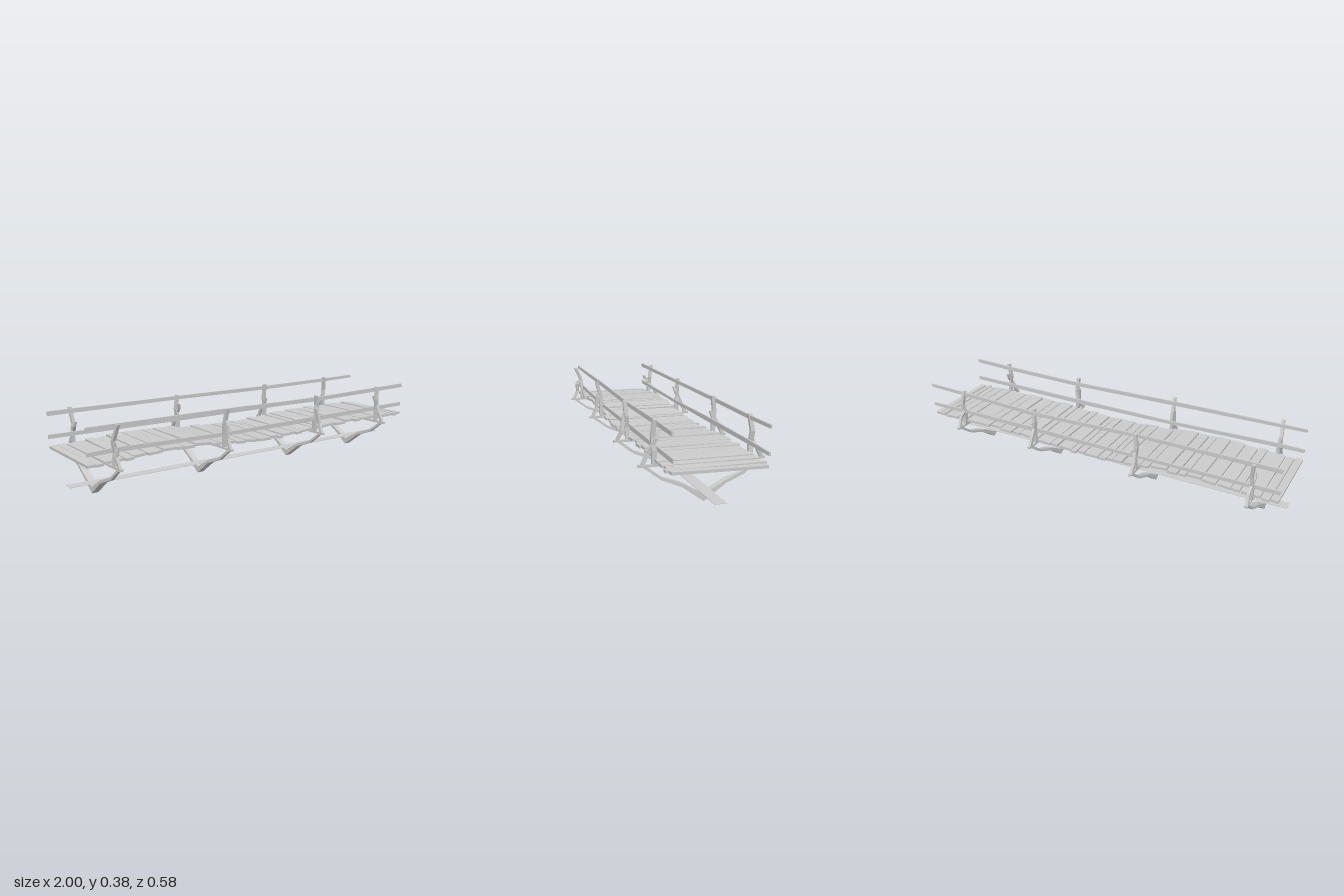
import * as THREE from 'three';

const material = new THREE.MeshStandardMaterial({ color: 0xcccccc, flatShading: true });

function add(parent, name, geometry) {
  const mesh = new THREE.Mesh(geometry, material);
  mesh.name = name;
  parent.add(mesh);
  return mesh;
}

// Timber lofted through rectangular sections [x, y, z, halfA, halfB] spanned by axes a and b.
function timber(rows, a, b) {
  const first = new THREE.Vector3(...rows[0].slice(0, 3));
  const dir = new THREE.Vector3(...rows[rows.length - 1].slice(0, 3)).sub(first);
  const flip = new THREE.Vector3().crossVectors(a, b).dot(dir) < 0 ? -1 : 1;
  const signs = [[-1, -1], [1, -1], [1, 1], [-1, 1]];
  const rings = rows.map(([x, y, z, ha, hb]) => signs.map(([s, t]) =>
    new THREE.Vector3(x, y, z).addScaledVector(a, s * ha).addScaledVector(b, t * hb * flip)));
  const pts = [];
  const quad = (p, q, r, s) => pts.push(p, q, r, p, r, s);
  for (let i = 0; i + 1 < rings.length; i++) {
    for (let j = 0; j < 4; j++) {
      const k = (j + 1) % 4;
      quad(rings[i][j], rings[i][k], rings[i + 1][k], rings[i + 1][j]);
    }
  }
  const s = rings[0], e = rings[rings.length - 1];
  quad(s[3], s[2], s[1], s[0]);
  quad(e[0], e[1], e[2], e[3]);
  const geometry = new THREE.BufferGeometry().setFromPoints(pts);
  geometry.computeVertexNormals();
  return geometry;
}

const X = new THREE.Vector3(1, 0, 0);
const Y = new THREE.Vector3(0, 1, 0);
const Z = new THREE.Vector3(0, 0, 1);

// Height of the worn deck along the bridge
const deckPoints = [[-1, 0.196], [-0.8, 0.203], [-0.65, 0.214], [-0.4, 0.21], [-0.2, 0.192],
  [-0.02, 0.183], [0.15, 0.185], [0.4, 0.199], [0.65, 0.203], [1, 0.196]];
function deckHeight(x) {
  let i = 0;
  while (i < deckPoints.length - 2 && x > deckPoints[i + 1][0]) i++;
  const [x0, y0] = deckPoints[i], [x1, y1] = deckPoints[i + 1];
  return y0 + (y1 - y0) * (x - x0) / (x1 - x0);
}

export function createModel() {
  const bridge = new THREE.Group();
  bridge.name = 'footbridge';

  // Deck planks of uneven width
  const deck = new THREE.Group();
  deck.name = 'deck';
  bridge.add(deck);
  const edges = [-1, -0.96, -0.915, -0.815, -0.77, -0.7, -0.62, -0.545, -0.5, -0.44, -0.35, -0.3,
    -0.2, -0.145, -0.11, -0.06, 0.02, 0.065, 0.1, 0.18, 0.225, 0.31, 0.345, 0.42, 0.47, 0.545,
    0.615, 0.665, 0.775, 0.835, 0.89, 0.925, 0.96, 1];
  for (let i = 0; i + 1 < edges.length; i++) {
    const x = (edges[i] + edges[i + 1]) / 2;
    const wobble = Math.sin(i * 2.7), twist = Math.sin(i * 4.3 + 1);
    const width = edges[i + 1] - edges[i] - (i % 3 ? 0.008 : 0.004);
    const plank = add(deck, 'plank', new THREE.BoxGeometry(width, 0.013, 0.437 + 0.012 * wobble));
    plank.position.set(x, deckHeight(x) + 0.002 * twist, 0.003 * twist);
    plank.rotation.x = 0.008 * wobble;
    plank.rotation.z = Math.atan((deckHeight(x + 0.02) - deckHeight(x - 0.02)) / 0.04);
  }

  // Thin centre board below the deck
  const board = add(bridge, 'centreBoard', new THREE.BoxGeometry(2, 0.002, 0.056));
  board.position.y = 0.055;

  // Trestles: crossbar, hanging brace, and a post with a bent strut on each side
  const stations = [-0.87, -0.278, 0.315, 0.78];
  const postTops = { 1: [0.262, 0.248, 0.234, 0.222], '-1': [0.243, 0.226, 0.22, 0.216] };
  const strutEnds = {
    1: [[0.3, 0.245], [0.32, 0.235], [0.33, 0.225], [0.32, 0.204]],
    '-1': [[0.312, 0.19], [0.33, 0.206], [0.3, 0.21], [0.28, 0.222]],
  };
  stations.forEach((x, i) => {
    const trestle = new THREE.Group();
    trestle.name = 'trestle';
    trestle.position.x = x;
    bridge.add(trestle);
    const bar = add(trestle, 'crossbar', new THREE.BoxGeometry(0.016, 0.011, 0.584));
    bar.position.y = 0.1775;

    const half = [[0, 0.174, 0.266, 0.006, 0.008], [0, 0.118, 0.193, 0.01, 0.007],
      [0, 0.082, 0.1, 0.018, 0.008]];
    const other = half.map(([px, y, z, w, h]) => [px, y, -z, w, h]).reverse();
    add(trestle, 'hangingBrace', timber([...half, [0, 0.017, 0, 0.017, 0.016], ...other], X, Y));

    for (const side of [1, -1]) {
      const lean = 0.005 * Math.sin(i * 2 + side);
      add(trestle, 'railPost', timber([
        [0, 0.175, side * 0.222, 0.008, 0.01],
        [lean, 0.245, side * 0.223, 0.007, 0.011],
        [-lean, 0.3, side * (0.2 * 0.225 + 0.8 * (0.224 + 0.2 * (postTops[side][i] - 0.224))
          - 0.0), 0.008, 0.01].map((v, k) => (k === 2 ? side * 0.228 : v)),
        [lean, 0.377, side * postTops[side][i], 0.008, 0.009],
      ], X, Z));
      const [endY, endZ] = strutEnds[side][i];
      add(trestle, 'strut', timber([
        [0, 0.178, side * 0.276, 0.007, 0.009],
        [-lean, 0.23, side * 0.251, 0.007, 0.009],
        [lean, endY - 0.025, side * (endZ + 0.01), 0.007, 0.01],
        [0, endY, side * endZ, 0.006, 0.007],
      ], X, Z));
    }
  });

  // Two long rails on each side, with a slight bend at every post: [x, y, z, half height]
  const rails = {
    frontUpperRail: [[-1, 0.366, 0.22, 0.008], [-0.28, 0.36, 0.214, 0.011],
      [0.315, 0.351, 0.208, 0.01], [0.78, 0.358, 0.206, 0.011], [1, 0.363, 0.21, 0.01]],
    frontLowerRail: [[-1, 0.252, 0.22, 0.009], [-0.87, 0.255, 0.216, 0.011],
      [-0.28, 0.243, 0.212, 0.009], [0.315, 0.245, 0.207, 0.012], [1, 0.252, 0.207, 0.01]],
    backUpperRail: [[-1, 0.363, -0.215, 0.011], [-0.28, 0.364, -0.214, 0.009],
      [0.315, 0.355, -0.235, 0.01], [0.78, 0.362, -0.217, 0.009], [1, 0.366, -0.215, 0.008]],
    backLowerRail: [[-1, 0.25, -0.215, 0.01], [-0.28, 0.246, -0.212, 0.008],
      [0.315, 0.25, -0.213, 0.012], [0.78, 0.252, -0.212, 0.01], [1, 0.25, -0.212, 0.008]],
  };
  for (const [name, points] of Object.entries(rails)) {
    add(bridge, name, timber(points.map(([x, y, z, h]) => [x, y, z, h, 0.004]), Y, Z));
  }
  return bridge;
}
